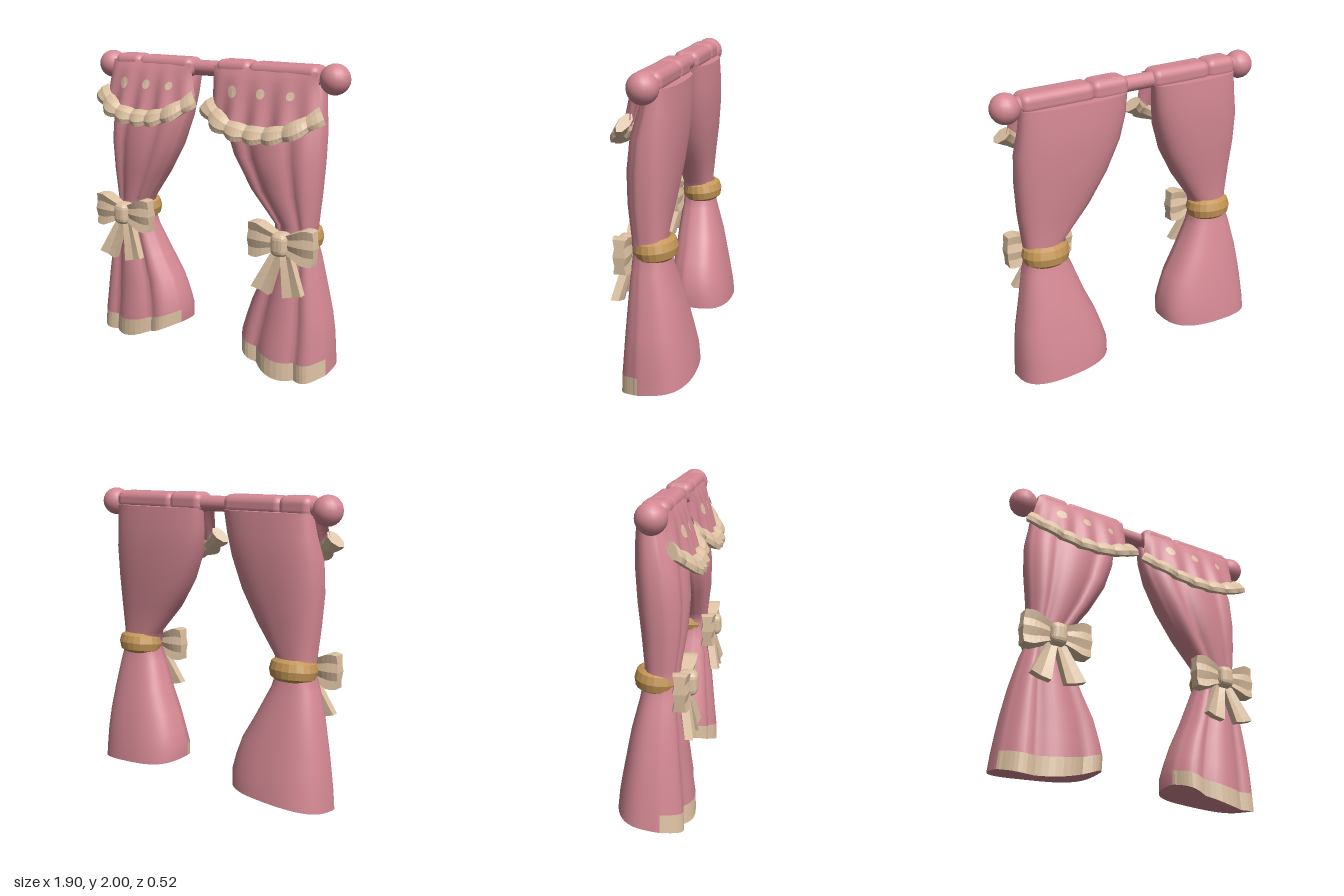
import * as THREE from 'three';
import { RoundedBoxGeometry } from 'three/addons/geometries/RoundedBoxGeometry.js';

const mat = (name, color, extra = {}) => Object.assign(new THREE.MeshStandardMaterial({ color, ...extra }), { name });
const V = (x, y, z) => new THREE.Vector3(x, y, z);
const signedPow = (v, p) => Math.sign(v) * Math.abs(v) ** p;

// Closed loft through equal-length rings, capped at both ends; pick(j, i) chooses a material slot.
function loft(rings, pick = () => 0, endLift = 0) {
  const n = rings[0].length, pos = [], lists = [[], []];
  rings.forEach(r => r.forEach(p => pos.push(p.x, p.y, p.z)));
  for (let j = 0; j < rings.length - 1; j++) for (let i = 0; i < n; i++) {
    const a = j * n + i, b = j * n + (i + 1) % n;
    lists[pick(j, i)].push(a, a + n, b, b, a + n, b + n);
  }
  [rings[0], rings[rings.length - 1]].forEach((r, end) => {
    const base = pos.length / 3, c = V(0, 0, 0);
    r.forEach(p => { pos.push(p.x, p.y, p.z); c.addScaledVector(p, 1 / n); });
    pos.push(c.x, c.y + (end ? 0 : endLift), c.z);
    for (let i = 0; i < n; i++) {
      const p = base + i, q = base + (i + 1) % n;
      lists[0].push(base + n, end ? q : p, end ? p : q);
    }
  });
  const g = new THREE.BufferGeometry();
  g.setAttribute('position', new THREE.Float32BufferAttribute(pos, 3));
  g.setIndex([...lists[0], ...lists[1]]);
  g.addGroup(0, lists[0].length, 0);
  if (lists[1].length) g.addGroup(lists[0].length, lists[1].length, 1);
  g.computeVertexNormals();
  return g;
}

// Moves every vertex of a geometry by a rule
function bend(g, rule) {
  const p = g.attributes.position;
  for (let i = 0; i < p.count; i++) p.setXYZ(i, ...rule(p.getX(i), p.getY(i), p.getZ(i)));
  g.computeVertexNormals();
  return g;
}

export function createModel() {
  const pink = mat('pink fabric', 0xd58994, { side: THREE.DoubleSide });
  const cream = mat('cream trim', 0xdec2a3, { flatShading: true, side: THREE.DoubleSide });
  const tan = mat('tan band', 0xc49656, { flatShading: true });
  const model = new THREE.Group();
  const add = (parent, name, g, m, x = 0, y = 0, z = 0) => {
    const mesh = new THREE.Mesh(g, m);
    mesh.name = name;
    mesh.position.set(x, y, z);
    parent.add(mesh);
    return mesh;
  };

  // Rod with ball ends
  add(model, 'rod', new THREE.CylinderGeometry(0.05, 0.05, 1.64, 16).rotateZ(Math.PI / 2), pink, 0, 1.92, -0.02);
  for (const s of [-1, 1]) add(model, 'rodBall', new THREE.SphereGeometry(0.093, 18, 12), pink, s * 0.856, 1.907, -0.01);

  // Curtain rows: y, back z, front z; each side adds its inner and outer x
  const rows = [[0, -0.265, 0.21], [0.12, -0.255, 0.205], [0.25, -0.235, 0.19], [0.4, -0.21, 0.175], [0.6, -0.175, 0.155],
    [0.8, -0.12, 0.13], [0.9, -0.1, 0.12], [1.0, -0.09, 0.125], [1.2, -0.115, 0.155], [1.4, -0.14, 0.165],
    [1.6, -0.155, 0.145], [1.75, -0.155, 0.095], [1.89, -0.145, 0.05]];
  const sides = [
    { name: 'rightCurtain', sign: -1, bowX: -0.65, cx: -0.465, topC: -0.455, topW: 0.32, lowW: 0.365, drop: 0, seam: -0.55,
      inner: [0.25, 0.245, 0.27, 0.31, 0.4, 0.5, 0.53, 0.51, 0.37, 0.26, 0.19, 0.16, 0.14],
      outer: [0.94, 0.93, 0.915, 0.895, 0.86, 0.81, 0.77, 0.78, 0.8, 0.82, 0.82, 0.79, 0.77] },
    { name: 'leftCurtain', sign: 1, bowX: 0.615, cx: 0.43, topC: 0.415, topW: 0.365, lowW: 0.39, drop: 0.025, seam: 0.31,
      inner: [0.26, 0.26, 0.29, 0.33, 0.4, 0.47, 0.51, 0.5, 0.32, 0.19, 0.1, 0.07, 0.06],
      outer: [0.895, 0.89, 0.885, 0.87, 0.835, 0.8, 0.77, 0.78, 0.8, 0.81, 0.81, 0.79, 0.78] },
  ];

  for (const c of sides) {
    const group = new THREE.Group();
    group.name = c.name;
    model.add(group);

    // Pleated drape with a cream hem along the front
    const N = 64;
    const rings = rows.map(([y, zb, zf], j) => Array.from({ length: N }, (_, i) => {
      const a = i / N * Math.PI * 2, hw = (c.outer[j] - c.inner[j]) / 2, hd = (zf - zb) / 2;
      const x = c.sign * (c.inner[j] + hw) + hw * signedPow(Math.cos(a), 0.85);
      let z = (zf + zb) / 2 + hd * signedPow(Math.sin(a), 0.75);
      if (Math.sin(a) > 0) z -= 0.2 * hd * Math.sin(a) * (1 - Math.abs(Math.cos(a * 4)));
      const t = (Math.abs(x) - c.inner[j]) / (2 * hw), back = (zf - z) / (zf - zb);
      const front = 0.17 * Math.max(0, 1 - t) ** 2.2 + 0.05 * t ** 4 - 0.033;
      const edge = THREE.MathUtils.lerp(front, 0.085 + 0.04 * (1 - t), back);
      return V(x, y + edge * Math.max(0, 1 - y / 0.6), z);
    }));
    const hem = (j, i) => (j === 0 && i > 1 && i < N / 2 - 2 ? 1 : 0);
    add(group, 'drape', loft(rings, hem, 0.05), [pink, cream]);

    // Fabric sleeves gathered on the rod
    const x0 = c.topC - c.topW, x1 = c.topC + c.topW;
    for (const [a, b, h] of [[x0, c.seam, 0.134], [c.seam - 0.02, x1, 0.126]])
      add(group, 'rodSleeve', new RoundedBoxGeometry(b - a, h, 0.172, 3, 0.05), pink, (a + b) / 2, 1.923, -0.008);

    // Valance surface, s across from -1 to 1 and v down from 0 to 1
    const lowY = s => 1.635 - c.drop + 0.11 * Math.abs(s) ** 2.4;
    const lowZ = s => 0.175 - 0.105 * Math.abs(s) ** 4;
    const valance = (s, v) => [
      THREE.MathUtils.lerp(c.topC + s * c.topW, c.cx + s * c.lowW, v),
      THREE.MathUtils.lerp(1.95, lowY(s), v),
      0.07 + (lowZ(s) - 0.07) * v ** 0.7 + 0.014 * v * Math.cos(s * 14),
    ];
    add(group, 'valance', bend(new THREE.PlaneGeometry(2, 1, 32, 8), (x, y) => valance(x, 0.5 - y)), pink);

    // Dots following the valance
    [[-0.52, 0.037], [0.03, 0.031], [0.57, 0.026]].forEach(([s, r]) => {
      const h = 1.95 - lowY(s);
      add(group, 'valanceDot', bend(new THREE.CircleGeometry(r, 12), (x, y) => {
        const p = valance(s + x / c.lowW, (0.145 - y) / h);
        return [p[0], p[1], p[2] + 0.007];
      }), cream);
    });

    // Scalloped ruffle flaring down and outward from the valance edge
    const steps = 36;
    const ruffle = Array.from({ length: steps + 1 }, (_, k) => {
      const s = k / steps * 2 - 1, e = Math.abs(s);
      const lobe = Math.abs(Math.cos(s * Math.PI * 3));
      const along = V(1, signedPow(s, 1.4) * 0.9, -1.1 * s ** 3).normalize();
      const down = V(signedPow(s, 2) * 0.65, -0.8 + 0.1 * e, 0.62 - 0.1 * e).normalize();
      const out = down.clone().cross(along).normalize();
      const mid = V(c.cx + s * (c.lowW + 0.012), 1.592 - c.drop + 0.14 * e ** 2.4, 0.195 - 0.1 * e ** 4);
      return Array.from({ length: 8 }, (_, i) => {
        const a = i / 8 * Math.PI * 2, ca = Math.cos(a);
        const w = ca > 0 ? 0.05 + 0.028 * lobe : 0.06;
        return mid.clone().addScaledVector(down, ca * w).addScaledVector(out, 0.034 * Math.sin(a) + 0.014 * (lobe - 0.5));
      });
    });
    add(group, 'ruffle', loft(ruffle), cream);

    // Tie-back band
    const band = add(group, 'tieBand', new THREE.TorusGeometry(0.112, 0.042, 8, 20).rotateX(Math.PI / 2), tan,
      c.sign * 0.645, 0.92, -0.015);
    band.scale.set(1.03, 1.65, 0.92);
    band.rotation.x = 0.1;

    // Bow with two loops, a knot and two tails
    const bow = new THREE.Group();
    bow.name = 'bow';
    bow.position.set(c.bowX, 0.905, 0.15);
    group.add(bow);
    const loopShape = () => bend(new THREE.BoxGeometry(1, 1, 1, 6, 4, 2), (x, y, z) => {
      const t = x + 0.5, mid = 1 - Math.abs(y * 2);
      return [0.025 + 0.205 * t + 0.01 * (mid - 0.5) * t, y * (0.1 + 0.13 * Math.min(1, 1.4 * t) - 0.015 * t ** 6),
        z * (0.045 + 0.055 * Math.sin(Math.PI * (0.1 + t * 0.7))) * (0.75 + 0.25 * Math.abs(mid * 2 - 1))];
    });
    for (const s of [0, 1]) add(bow, 'bowLoop', loopShape(), cream).rotation.z = s * Math.PI;
    add(bow, 'bowKnot', new RoundedBoxGeometry(0.11, 0.15, 0.13, 2, 0.04), cream, 0, -0.005, 0.012);
    for (const s of [-1, 1]) add(bow, 'bowTail', bend(new THREE.BoxGeometry(1, 1, 1, 2, 5, 1), (x, y, z) => {
      const t = 0.5 - y;
      return [s * (0.025 + 0.09 * t) + x * (0.065 + 0.065 * t), -0.05 - 0.265 * t + s * x * 0.035 * t,
        -0.005 + 0.055 * t + z * 0.05 + (x === 0 ? -0.012 : 0)];
    }), cream);
  }
  return model;
}
